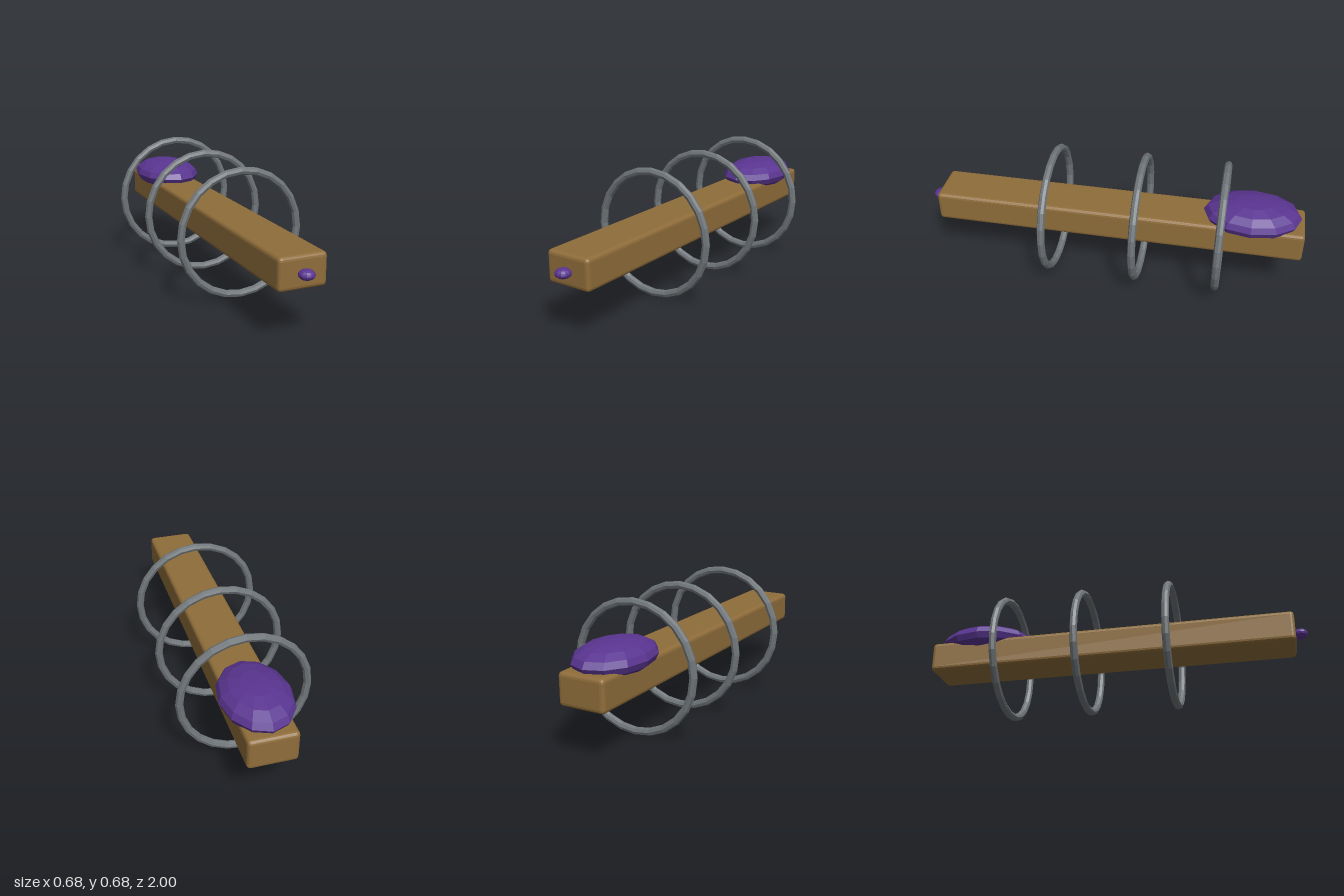
import * as THREE from 'three';
import { RoundedBoxGeometry } from 'three/addons/geometries/RoundedBoxGeometry.js';

const AXIS_Y = 0.342;

const material = (color) => new THREE.MeshStandardMaterial({ color, flatShading: true });
const wood = material(0x8f6d3a);
const metal = material(0x6f7579);
const purple = material(0x5a3591);

function addPart(group, name, geometry, mat, x, y, z) {
  const mesh = new THREE.Mesh(geometry, mat);
  mesh.name = name;
  mesh.position.set(x, y, z);
  group.add(mesh);
  return mesh;
}

// Faceted ellipsoid with its poles up and down
const ellipsoid = (rx, ry, rz) => new THREE.SphereGeometry(1, 12, 8).scale(rx, ry, rz);

export function createModel() {
  const model = new THREE.Group();
  model.name = 'ringedBeam';

  // Long beam with softened edges
  addPart(model, 'beam', new RoundedBoxGeometry(0.244, 0.16, 1.935, 2, 0.02), wood, 0, AXIS_Y, -0.0325);

  // Three upright hoops around the beam
  [0.31, -0.155, -0.58].forEach((z, i) => {
    addPart(model, `hoop${i + 1}`, new THREE.TorusGeometry(0.32, 0.02, 8, 24), metal, 0, AXIS_Y, z);
  });

  // Cushion resting on the rear and small knob on the front end
  addPart(model, 'cushion', ellipsoid(0.176, 0.081, 0.25), purple, 0, 0.443, -0.73);
  addPart(model, 'frontKnob', ellipsoid(0.039, 0.025, 0.039), purple, 0, AXIS_Y, 0.961);

  return model;
}
